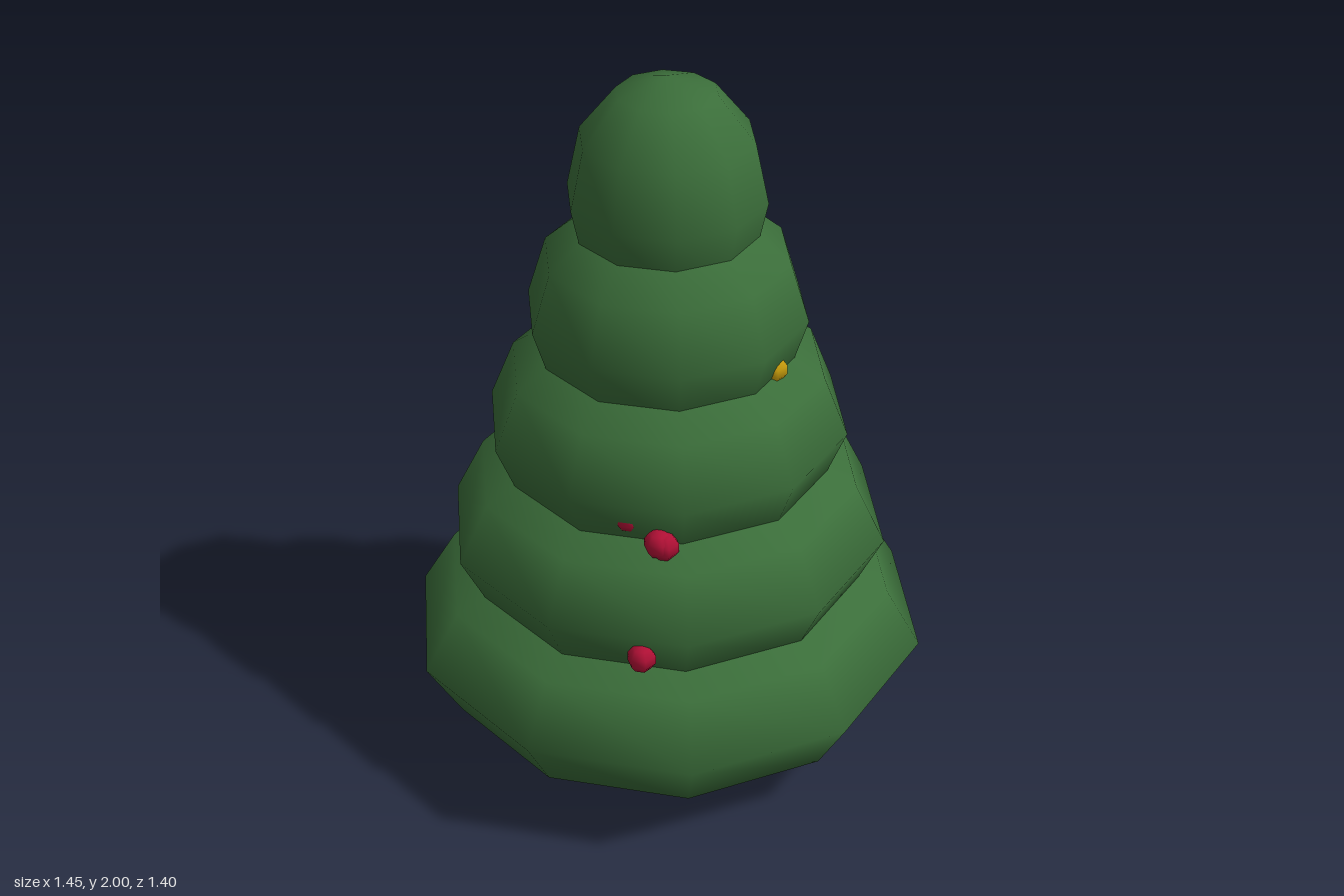
import * as THREE from 'three';

export function createModel() {
  const tree = new THREE.Group();
  tree.name = 'tree';
  const material = (name, color) => {
    const m = new THREE.MeshStandardMaterial({ color });
    m.name = name;
    return m;
  };
  const green = material('leaf green', 0x3b6e3a);
  const red = material('berry red', 0xb01035);
  const gold = material('gold', 0xc79c0c);
  const axisZ = 0.011;

  // Foliage: five overlapping squashed spheres, narrowing upward
  const ball = new THREE.SphereGeometry(1, 10, 6);
  for (let i = 0; i < 5; i++) {
    const tier = new THREE.Mesh(ball, green);
    const r = 0.725 - i * 0.1145;
    tier.name = 'foliageTier' + (i + 1);
    tier.scale.set(r, 0.331, r);
    tier.position.set(0, 0.333 + i * 0.334, axisZ);
    tree.add(tier);
  }

  // Baubles: small spheres, some nearly sunk into the foliage
  const bauble = new THREE.SphereGeometry(0.04, 6, 5);
  const add = (name, mat, spots) => spots.forEach(([x, y, z], i) => {
    const mesh = new THREE.Mesh(bauble, mat);
    mesh.name = name + (i + 1);
    mesh.position.set(x, y, z);
    tree.add(mesh);
  });
  add('redBauble', red, [
    [0.06, 0.6, 0.578],
    [0.08, 0.89, 0.465],
    [0.096, 0.883, 0.462],
    [-0.01, 0.935, 0.425],
    [0.05, 0.287, -0.67],
    [0.155, 1.215, -0.275],
    [0.535, 0.3, -0.385],
    [-0.235, 0.8, -0.41],
  ]);
  add('goldBauble', gold, [
    [-0.1, 0.6, -0.54],
    [0.305, 1.235, 0.1],
  ]);
  return tree;
}
